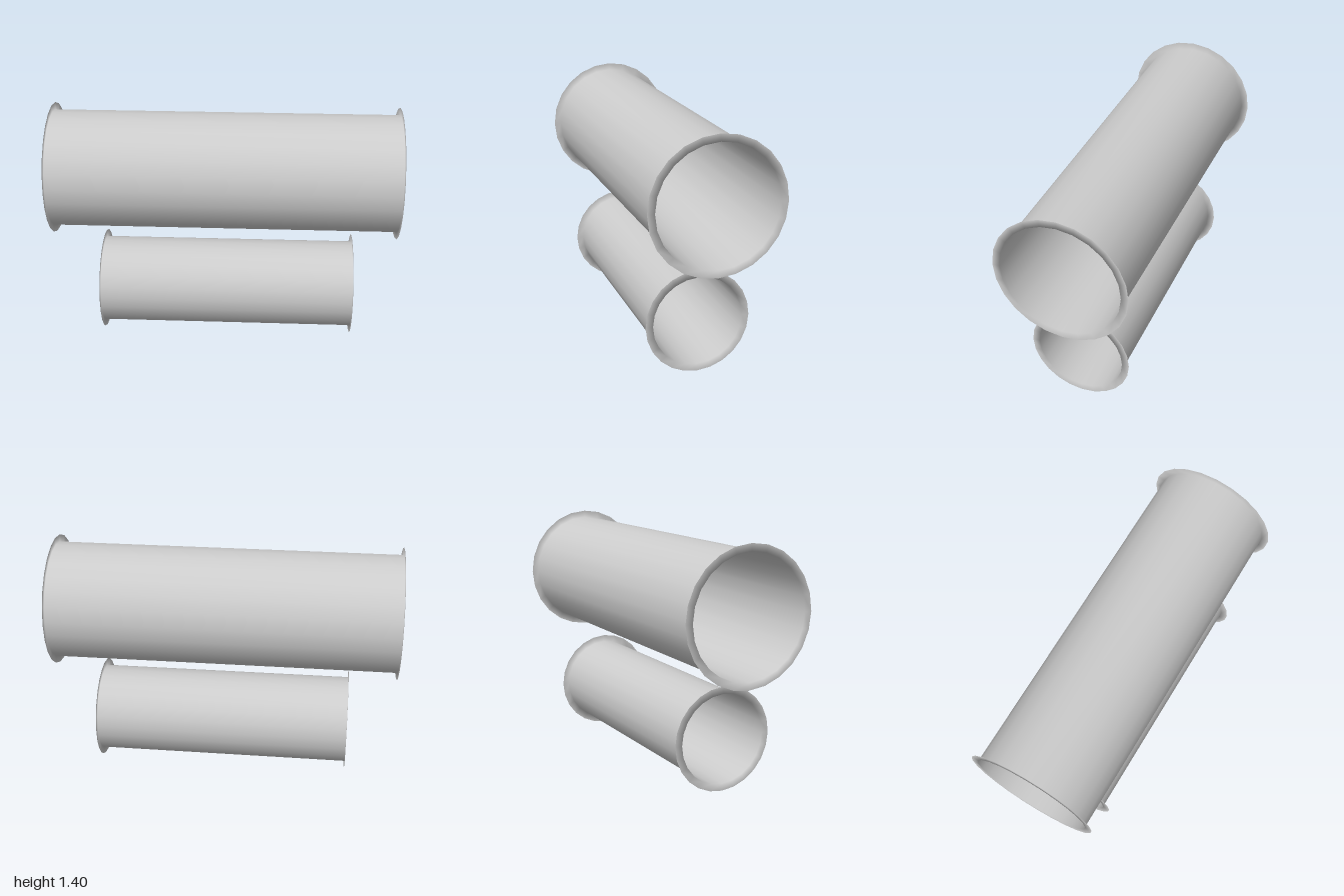
import * as THREE from 'three';

// Open pipe along x with a paper-thin flared flange at each end
function flangedPipe(name, radius, flangeRadius, x0, x1, y, z, material) {
  const profile = [
    new THREE.Vector2(flangeRadius, x0),
    new THREE.Vector2(radius, x0),
    new THREE.Vector2(radius, x1),
    new THREE.Vector2(flangeRadius, x1),
  ];
  const geometry = new THREE.LatheGeometry(profile, 24);
  geometry.rotateZ(-Math.PI / 2); // lathe axis to x
  const mesh = new THREE.Mesh(geometry, material);
  mesh.name = name;
  mesh.position.set(0, y, z);
  return mesh;
}

export function createModel() {
  const group = new THREE.Group();
  group.name = 'flangedPipes';
  const metal = new THREE.MeshStandardMaterial({ color: 0xcccccc, side: THREE.DoubleSide });
  metal.name = 'light grey metal';

  group.add(flangedPipe('largePipe', 0.34, 0.382, -1, 1, 1.022, 0, metal));
  group.add(flangedPipe('smallPipe', 0.256, 0.298, -0.73, 0.76, 0.298, 0.016, metal));
  return group;
}
